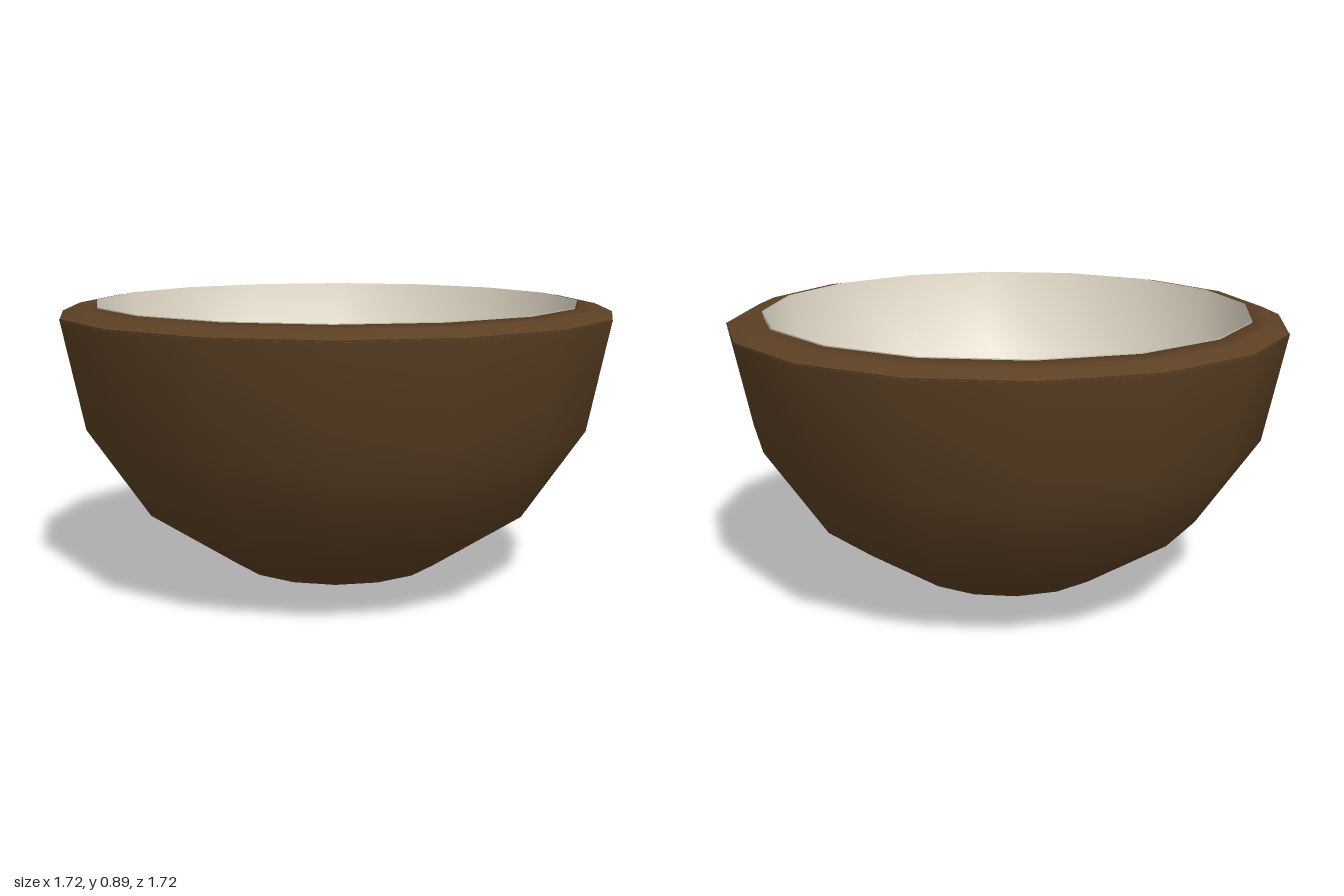
import * as THREE from 'three';

const SIDES = 16;

export function createModel() {
  const model = new THREE.Group();
  model.name = 'halfShellBowl';

  const huskBrown = new THREE.MeshStandardMaterial({ color: 0x5c4023 });
  huskBrown.name = 'husk brown';
  const creamFlesh = new THREE.MeshStandardMaterial({ color: 0xe2dac8, side: THREE.DoubleSide });
  creamFlesh.name = 'cream flesh';

  // Quarter-circle profile from the bottom pole up to the rim
  const quarterArc = (radius, rimY, steps = 4) =>
    Array.from({ length: steps + 1 }, (_, i) => {
      const a = (i / steps) * Math.PI / 2;
      return new THREE.Vector2(radius * Math.sin(a), rimY - radius * Math.cos(a));
    });

  const addLathe = (name, points, material) => {
    const mesh = new THREE.Mesh(new THREE.LatheGeometry(points, SIDES), material);
    mesh.name = name;
    model.add(mesh);
  };

  // Outer husk: faceted hemisphere
  addLathe('outerHusk', quarterArc(0.86, 1.37), huskBrown);

  // Rounded rim closing the wall between husk and flesh
  addLathe('rim', [
    new THREE.Vector2(0.86, 1.365),
    new THREE.Vector2(0.805, 1.39),
    new THREE.Vector2(0.755, 1.398),
    new THREE.Vector2(0.75, 1.36),
  ], huskBrown);

  // Inner flesh: facing inward, its edge just above the rim
  addLathe('innerFlesh', quarterArc(0.75, 1.4).reverse(), creamFlesh);

  model.position.x = -0.14;
  return model;
}
